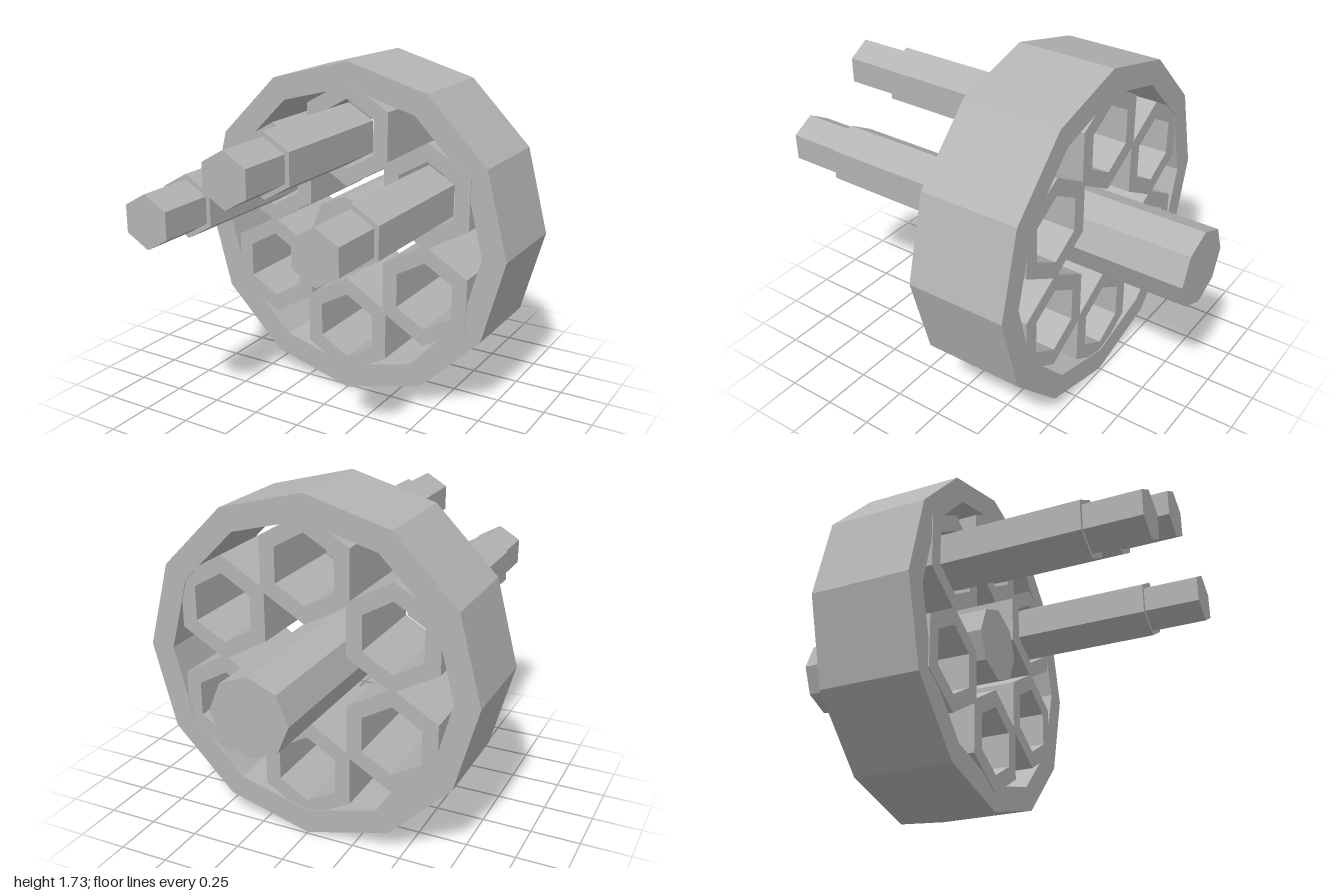
import * as THREE from 'three';

const grey = new THREE.MeshStandardMaterial({ color: 0xb4b4b4, flatShading: true });
grey.name = 'plain grey';

const CENTRE_Y = 0.865;

// Regular polygon with one corner pointing up
function polygon(Kind, radius, sides) {
  const points = [];
  for (let i = 0; i < sides; i++) {
    const a = Math.PI / 2 + (i * 2 * Math.PI) / sides;
    points.push(new THREE.Vector2(radius * Math.cos(a), radius * Math.sin(a)));
  }
  return new Kind(points);
}

// Prism along z, optionally bored through
function prism(name, sides, radius, bore, zBack, zFront) {
  const shape = polygon(THREE.Shape, radius, sides);
  if (bore > 0) shape.holes.push(polygon(THREE.Path, bore, sides));
  const geometry = new THREE.ExtrudeGeometry(shape, { depth: zFront - zBack, bevelEnabled: false });
  geometry.translate(0, 0, zBack);
  const mesh = new THREE.Mesh(geometry, grey);
  mesh.name = name;
  return mesh;
}

export function createModel() {
  const model = new THREE.Group();
  model.name = 'revolvingBarrels';

  const assembly = new THREE.Group();
  assembly.name = 'drumAssembly';
  assembly.position.y = CENTRE_Y;
  model.add(assembly);

  // Outer ring and central axle
  assembly.add(prism('outerRing', 12, 0.865, 0.74, -0.49, 0.02));
  assembly.add(prism('axle', 8, 0.195, 0, -1, 0.04));

  // Six hexagonal chambers; the upper three hold stepped pins
  for (let i = 0; i < 6; i++) {
    const a = Math.PI / 2 + (i * Math.PI) / 3;
    const chamber = new THREE.Group();
    chamber.name = 'chamber' + (i + 1);
    chamber.position.set(0.51 * Math.cos(a), 0.51 * Math.sin(a), 0);
    chamber.add(prism('chamberTube', 6, 0.265, 0.175, -0.485, 0.025));
    if (Math.sin(a) > 0) {
      chamber.add(prism('pinShaft', 6, 0.155, 0, 0, 0.72));
      chamber.add(prism('pinTip', 6, 0.13, 0, 0.72, 1));
    }
    assembly.add(chamber);
  }
  return model;
}
